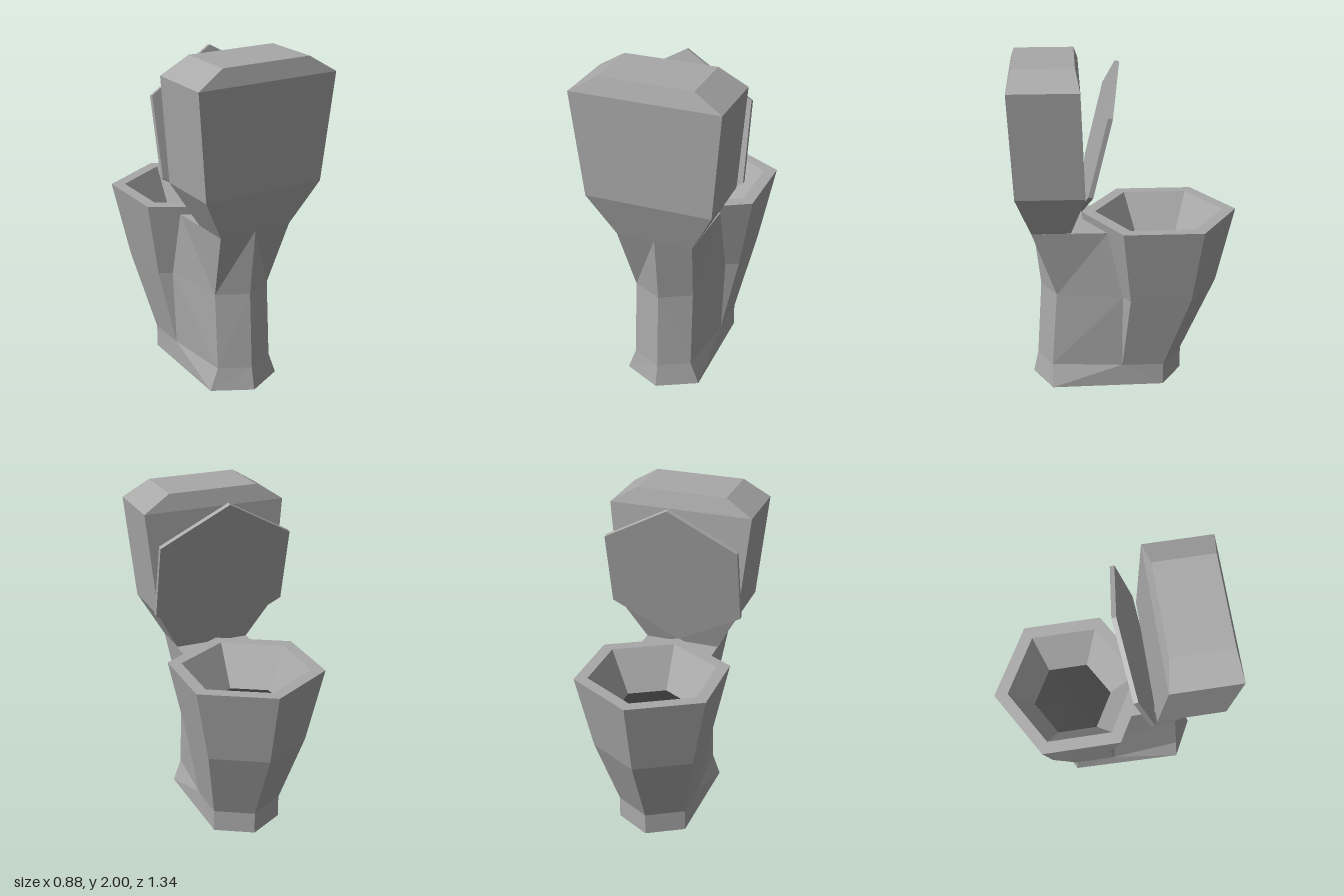
import * as THREE from 'three';

// Joins rings of [x, y, z] points (counterclockwise from above) into a faceted skin.
function loft(rings, { bottom = false, top = false } = {}) {
  const pos = [];
  const tri = (a, b, c) => pos.push(...a, ...b, ...c);
  const n = rings[0].length;
  for (let r = 0; r < rings.length - 1; r++) {
    const lo = rings[r], hi = rings[r + 1];
    for (let i = 0; i < n; i++) {
      const j = (i + 1) % n;
      // alternate the diagonals so both sides mirror each other
      if (i % 2 === 0) { tri(lo[i], lo[j], hi[i]); tri(lo[j], hi[j], hi[i]); }
      else { tri(lo[i], lo[j], hi[j]); tri(lo[i], hi[j], hi[i]); }
    }
  }
  const first = rings[0], last = rings[rings.length - 1];
  for (let i = 1; i < n - 1; i++) {
    if (bottom) tri(first[0], first[i + 1], first[i]);
    if (top) tri(last[0], last[i], last[i + 1]);
  }
  const g = new THREE.BufferGeometry();
  g.setAttribute('position', new THREE.Float32BufferAttribute(pos, 3));
  g.computeVertexNormals();
  return g;
}

// Regular hexagon with corners on the z axis
const hex = (y, r, cz) => Array.from({ length: 6 }, (_, i) => {
  const a = i * Math.PI / 3;
  return [Math.sin(a) * r, y, cz + Math.cos(a) * r];
});

// Mirrored ring: the +x half from the +z end to the -z end, both ends on x = 0
const mirrored = (y, half) => [
  ...half.map(([x, z]) => [x, y, z]),
  ...half.slice(1, -1).reverse().map(([x, z]) => [-x, y, z]),
];

// Rectangle of half width x between z0 and z1
const rect = (y, x, z0, z1) => [[-x, y, z1], [x, y, z1], [x, y, z0], [-x, y, z0]];

export function createModel() {
  const group = new THREE.Group();
  const ceramic = new THREE.MeshStandardMaterial({ color: 0xa8a8a8 });
  ceramic.name = 'grey ceramic';
  const dark = new THREE.MeshStandardMaterial({ color: 0x363636 });
  dark.name = 'dark drain';

  const add = (name, geometry, material = ceramic) => {
    const mesh = new THREE.Mesh(geometry, material);
    mesh.name = name;
    group.add(mesh);
    return mesh;
  };

  // Foot: flared base under the bowl and the pedestal
  add('foot', loft([
    mirrored(0, [[0, 0.57], [0.23, 0.45], [0.23, 0.45], [0.2165, -0.225], [0, -0.35]]),
    mirrored(0.135, [[0, 0.54], [0.18, 0.45], [0.2165, 0.025], [0.2165, -0.225], [0, -0.35]]),
  ], { bottom: true }));

  // Pedestal: rear column that carries the tank
  add('pedestal', loft([
    mirrored(0.135, [[0, 0.54], [0.18, 0.45], [0.2165, 0.025], [0, 0.14]]),
    mirrored(0.6, [[0, 0.51], [0.18, 0.415], [0.238, 0.02], [0, 0.15]]),
    mirrored(1.01, [[0, 0.555], [0.23, 0.555], [0.235, 0.11], [0, 0.235]]),
  ], { top: true }));

  // Bowl: outer wall, flat rim and inner slope
  add('bowl', loft([
    hex(0.135, 0.25, -0.1),
    hex(0.6, 0.36, -0.2),
    hex(1.06, 0.465, -0.205),
    hex(1.06, 0.383, -0.207),
    hex(0.81, 0.236, -0.205),
  ]));

  // Floor of the bowl
  const floor = add('bowlFloor', new THREE.CylinderGeometry(0.236, 0.236, 0.006, 6), dark);
  floor.position.set(0, 0.81, -0.205);

  // Tank: tapered neck, body and bevelled top
  add('tank', loft([
    rect(1.01, 0.23, 0.325, 0.555),
    rect(1.27, 0.375, 0.24, 0.64),
    rect(1.9, 0.438, 0.262, 0.667),
    rect(2, 0.275, 0.287, 0.64),
  ], { bottom: true, top: true }));

  // Lid: raised hexagonal plate leaning over the bowl
  const lid = add('lid', new THREE.CylinderGeometry(0.47, 0.47, 0.027, 6).toNonIndexed());
  lid.geometry.computeVertexNormals();
  lid.rotation.x = THREE.MathUtils.degToRad(76.2);
  lid.position.set(0, 1.52, 0.155);

  return group;
}
